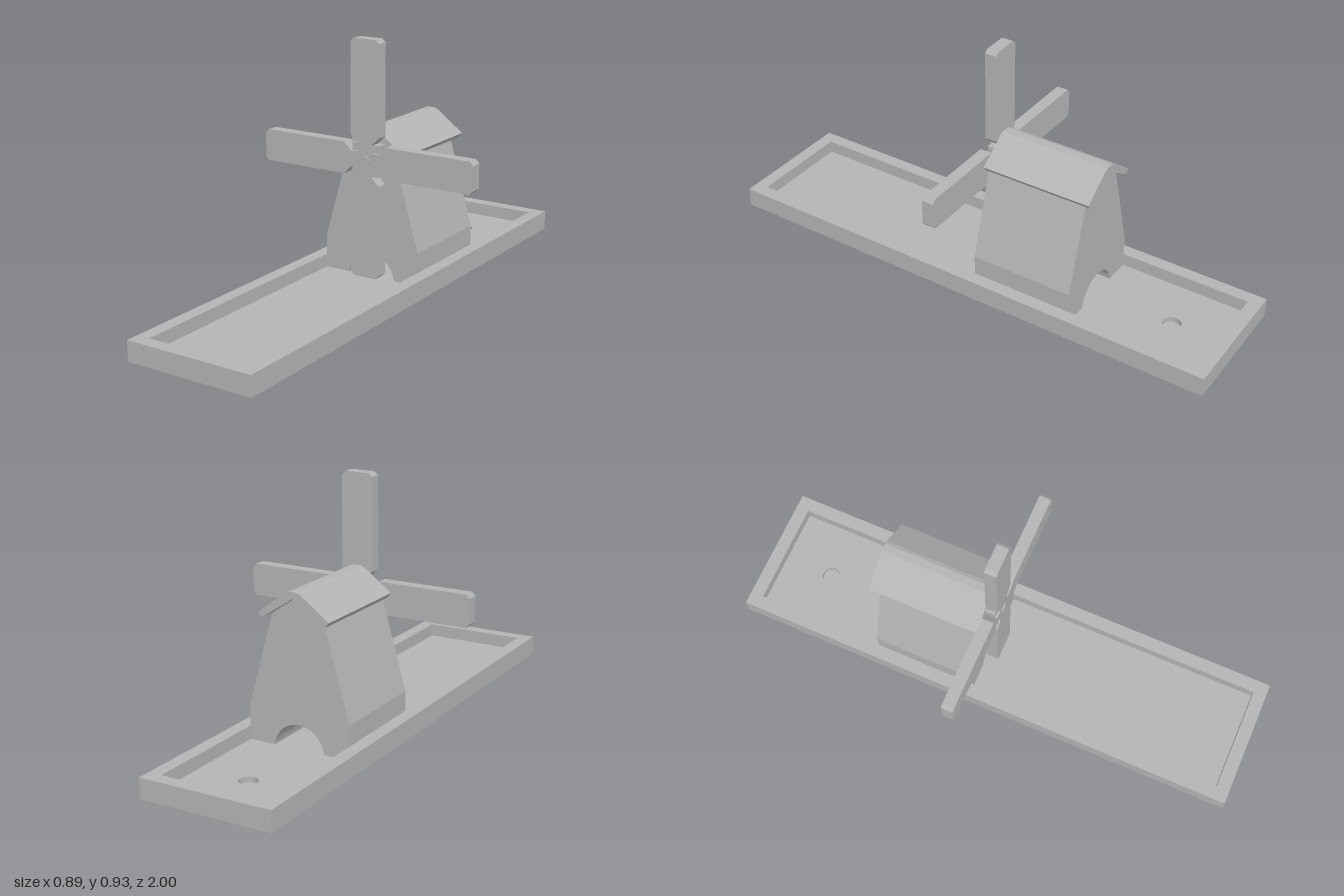
import * as THREE from 'three';

export function createModel() {
  const model = new THREE.Group();
  model.name = 'windmillObstacle';
  const grey = new THREE.MeshStandardMaterial({ color: 0xb4b4b4 });
  grey.name = 'plain grey';

  const add = (parent, name, geometry) => {
    const mesh = new THREE.Mesh(geometry, grey);
    mesh.name = name;
    parent.add(mesh);
    return mesh;
  };
  const outline = (points) => new THREE.Shape(points.map(([x, y]) => new THREE.Vector2(x, y)));
  const rect = (w, h) => outline([[-w, -h], [w, -h], [w, h], [-w, h]]);
  // Extrusion along z between two depths
  const slab = (shape, back, front) =>
    new THREE.ExtrudeGeometry(shape, { depth: front - back, bevelEnabled: false, curveSegments: 20 })
      .translate(0, 0, back);
  // Horizontal layer between two heights
  const layer = (shape, bottom, top) => slab(shape, bottom, top).rotateX(-Math.PI / 2);
  // Points on the +x side, mirrored to close a symmetric outline
  const mirrored = (half) => outline([
    ...half, ...half.filter(([x]) => x > 0).reverse().map(([x, y]) => [-x, y]),
  ]);

  // Tray: bottom, floor with ball cup, raised rim
  const tray = new THREE.Group();
  tray.name = 'tray';
  model.add(tray);
  add(tray, 'trayBottom', layer(rect(0.25, 1), 0, 0.005));
  const floor = rect(0.25, 1);
  floor.holes.push(new THREE.Path().absarc(0, 0.755, 0.034, 0, Math.PI * 2, true));
  add(tray, 'trayFloor', layer(floor, 0.005, 0.025));
  const rim = rect(0.25, 1);
  rim.holes.push(rect(0.2, 0.95));
  add(tray, 'trayRim', layer(rim, 0.025, 0.075));

  // House with an arched tunnel running through it
  const archY = 0.0135;
  const archR = 0.1;
  const start = Math.asin((0.025 - archY) / archR);
  const house = new THREE.Shape();
  house.moveTo(archR * Math.cos(start), 0.025);
  house.lineTo(0.2, 0.025);
  house.lineTo(0.2, 0.15);
  house.lineTo(0.1, 0.5);
  house.lineTo(0, 0.568);
  house.lineTo(-0.1, 0.5);
  house.lineTo(-0.2, 0.15);
  house.lineTo(-0.2, 0.025);
  house.lineTo(-archR * Math.cos(start), 0.025);
  house.absarc(0, archY, archR, Math.PI - start, start, true);
  add(model, 'house', slab(house, -0.447, -0.05));

  // Overhanging roof, rounded over the ridge
  const roof = outline([
    [0.125, 0.487], [0.139, 0.505], [0.03, 0.585], [0.015, 0.591],
    [-0.015, 0.591], [-0.03, 0.585], [-0.139, 0.505], [-0.125, 0.487],
    [0, 0.568],
  ]);
  add(model, 'roof', slab(roof, -0.475, -0.05));

  // Sails: four necked blades around a square hub
  const sails = new THREE.Group();
  sails.name = 'sails';
  sails.position.y = 0.48;
  model.add(sails);
  const blade = mirrored([
    [0.03, 0.06], [0.06, 0.09], [0.06, 0.432], [0.046, 0.445],
  ]);
  const stub = rect(0.03, 0.06);
  for (let i = 0; i < 4; i++) {
    add(sails, 'blade', slab(blade, -0.05, -0.005)).rotation.z = i * Math.PI / 2;
  }
  add(sails, 'hubBlock', slab(rect(0.06, 0.06), -0.05, -0.015));
  add(sails, 'hubCrossUpright', slab(stub, -0.015, -0.005));
  for (const side of [-1, 1]) {
    const arm = outline([[0.03, -0.03], [0.06, -0.03], [0.06, 0.03], [0.03, 0.03]]);
    add(sails, 'hubCrossArm', slab(arm, -0.015, -0.005)).rotation.z = side > 0 ? 0 : Math.PI;
  }
  const pin = new THREE.CylinderGeometry(0.02, 0.02, 0.03, 16).rotateX(Math.PI / 2);
  add(sails, 'hubPin', pin.translate(0, 0, -0.015));

  return model;
}
